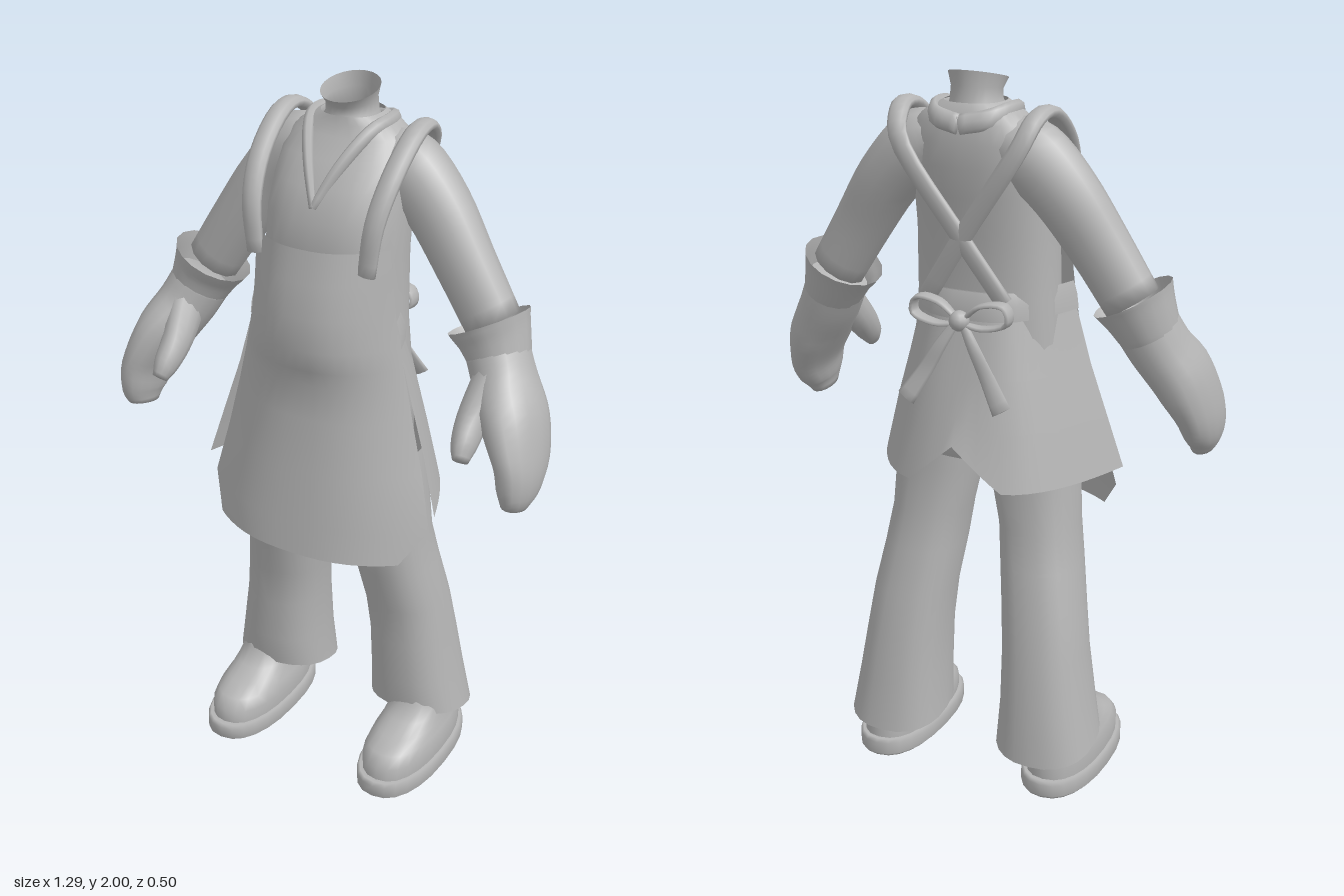
import * as THREE from 'three';

const V = (x, y, z) => new THREE.Vector3(x, y, z);
const cloth = new THREE.MeshStandardMaterial({ color: 0xb4b4b4, side: THREE.DoubleSide });
cloth.name = 'plain grey';

// Skin between cross-sections; each section is a list of points.
function loft(name, rings, closed = true) {
  const n = rings[0].length, pos = [], idx = [];
  rings.forEach(r => r.forEach(p => pos.push(p.x, p.y, p.z)));
  for (let i = 0; i < rings.length - 1; i++) {
    for (let j = 0; j < (closed ? n : n - 1); j++) {
      const k = (j + 1) % n, a = i * n + j, b = a + n, c = i * n + k, d = c + n;
      idx.push(a, b, c, c, b, d);
    }
  }
  const g = new THREE.BufferGeometry();
  g.setAttribute('position', new THREE.Float32BufferAttribute(pos, 3));
  g.setIndex(idx);
  g.computeVertexNormals();
  const mesh = new THREE.Mesh(g, cloth);
  mesh.name = name;
  return mesh;
}

const collapse = r => {
  const c = r.reduce((s, p) => s.add(p), V(0, 0, 0)).divideScalar(r.length);
  return r.map(() => c.clone());
};

// Level section: rows are [y, centre x, half width, back z, front z, front lift].
function stack(name, rows, { n = 24, e = 0.85, capTop = false, capBottom = false } = {}) {
  const pw = v => Math.sign(v) * Math.abs(v) ** e;
  const rings = rows.map(([y, cx, hx, zb, zf, lift = 0]) => Array.from({ length: n }, (_, i) => {
    const a = i / n * Math.PI * 2, s = pw(Math.sin(a));
    return V(cx + hx * pw(Math.cos(a)), y + lift * s, (zb + zf) / 2 + s * (zf - zb) / 2);
  }));
  if (capBottom) rings.unshift(collapse(rings[0]));
  if (capTop) rings.push(collapse(rings[rings.length - 1]));
  return loft(name, rings);
}

// Oval tube along a smooth path: rows are [x, y, z, thickness radius, width radius along ref].
function sweep(name, rows, { ref = V(0, 0, 1), n = 12, steps = 4, cap = true } = {}) {
  const path = new THREE.CatmullRomCurve3(rows.map(r => V(r[0], r[1], r[2])), false, 'catmullrom');
  const size = new THREE.CatmullRomCurve3(rows.map(r => V(r[3], r[4], 0)), false, 'catmullrom');
  const total = (rows.length - 1) * steps, rings = [];
  for (let i = 0; i <= total; i++) {
    const c = path.getPoint(i / total), t = path.getTangent(i / total), s = size.getPoint(i / total);
    const A = ref.clone().addScaledVector(t, -ref.dot(t)).normalize(), B = t.clone().cross(A);
    rings.push(Array.from({ length: n }, (_, j) => {
      const a = j / n * Math.PI * 2;
      return c.clone().addScaledVector(B, s.x * Math.cos(a)).addScaledVector(A, s.y * Math.sin(a));
    }));
  }
  if (cap) {
    rings.unshift(collapse(rings[0]));
    rings.push(collapse(rings[rings.length - 1]));
  }
  return loft(name, rings);
}

// Curved open cloth: rows are [y, half width, edge z, middle z, rise at middle].
function panel(name, rows, p, n = 20) {
  const front = rows[0][3] > rows[0][2] ? 1 : -1;
  return loft(name, rows.map(([y, w, ze, zm, rise = 0]) => Array.from({ length: n + 1 }, (_, i) => {
    const u = -Math.sin((i / n - 0.5) * Math.PI) * front;
    return V(u * w, y + rise * Math.max(0, 1 - Math.abs(u) * 2.6), ze + (zm - ze) * (1 - Math.abs(u) ** p));
  })), false);
}

function buildSide() {
  const side = new THREE.Group();

  // Sleeve and mitten
  side.add(sweep('sleeve', [
    [0.09, 1.82, -0.09, 0.07, 0.08], [0.16, 1.79, -0.09, 0.095, 0.09], [0.25, 1.7, -0.085, 0.09, 0.085],
    [0.34, 1.57, -0.07, 0.083, 0.075], [0.43, 1.43, -0.06, 0.078, 0.07]]));
  side.add(sweep('gloveCuff', [
    [0.425, 1.44, -0.045, 0.112, 0.115], [0.445, 1.4, -0.04, 0.097, 0.1], [0.47, 1.345, -0.03, 0.082, 0.088]],
    { cap: false, n: 16 }));
  side.add(sweep('mitten', [
    [0.455, 1.375, -0.035, 0.085, 0.088], [0.495, 1.3, -0.01, 0.082, 0.098], [0.545, 1.22, 0.03, 0.077, 0.12],
    [0.583, 1.13, 0.065, 0.06, 0.115], [0.592, 1.06, 0.09, 0.05, 0.09], [0.588, 1.01, 0.1, 0.032, 0.055]],
    { n: 16 }));
  side.add(sweep('thumb', [
    [0.475, 1.33, 0.01, 0.05, 0.06], [0.46, 1.24, 0.09, 0.042, 0.05], [0.462, 1.18, 0.15, 0.034, 0.04],
    [0.467, 1.145, 0.18, 0.02, 0.025]]));

  // Trouser leg, open at the hem
  side.add(stack('trouserLeg', [
    [0.14, 0.233, 0.143, -0.25, 0.035, 0.035], [0.26, 0.225, 0.128, -0.232, 0.045, 0.01],
    [0.4, 0.213, 0.118, -0.21, 0.045], [0.52, 0.2, 0.115, -0.188, 0.055], [0.65, 0.18, 0.112, -0.16, 0.085],
    [0.76, 0.165, 0.11, -0.138, 0.1], [0.9, 0.145, 0.122, -0.13, 0.11], [1.02, 0.13, 0.12, -0.13, 0.11]]));

  // Shoe with thick sole
  const shoe = new THREE.Group();
  shoe.name = 'shoe';
  shoe.add(stack('sole', [
    [0, 0, 0.105, -0.225, 0.235], [0.008, 0, 0.113, -0.23, 0.247], [0.042, 0, 0.113, -0.23, 0.247],
    [0.052, 0, 0.106, -0.222, 0.238]], { capTop: true, capBottom: true }));
  shoe.add(stack('shoeUpper', [
    [0.05, 0, 0.1, -0.212, 0.225], [0.09, 0, 0.102, -0.21, 0.222], [0.12, 0, 0.093, -0.205, 0.195],
    [0.14, 0, 0.086, -0.2, 0.14], [0.165, 0, 0.082, -0.195, 0.085], [0.2, 0, 0.078, -0.19, 0.035],
    [0.27, 0, 0.074, -0.185, 0.02]], { capTop: true }));
  shoe.position.x = 0.262;
  side.add(shoe);

  // Strap over the shoulder, crossing to the far side behind
  side.add(sweep('apronStrap', [
    [0.165, 1.57, 0.135, 0.015, 0.025], [0.18, 1.7, 0.125, 0.016, 0.028], [0.193, 1.81, 0.06, 0.018, 0.03],
    [0.197, 1.893, -0.05, 0.018, 0.03], [0.19, 1.89, -0.14, 0.016, 0.028], [0.155, 1.8, -0.195, 0.013, 0.026],
    [0.01, 1.59, -0.178, 0.012, 0.026], [-0.11, 1.41, -0.15, 0.012, 0.026]], { ref: V(1, 0, 0), n: 10 }));

  // Collar half
  side.add(sweep('collar', [
    [0, 1.715, 0.12, 0.01, 0.012], [0.045, 1.81, 0.065, 0.014, 0.02], [0.088, 1.885, -0.01, 0.016, 0.022],
    [0.105, 1.9, -0.09, 0.016, 0.024], [0.075, 1.885, -0.165, 0.016, 0.026], [0, 1.87, -0.185, 0.016, 0.026]],
    { ref: V(0, 1, 0.3), n: 8 }));

  // Bow loop and ribbon tail
  side.add(sweep('bowLoop', [
    [0.01, 1.365, -0.185, 0.007, 0.012], [0.06, 1.405, -0.185, 0.007, 0.022], [0.125, 1.41, -0.18, 0.007, 0.026],
    [0.135, 1.365, -0.18, 0.007, 0.026], [0.07, 1.345, -0.185, 0.007, 0.022], [0.01, 1.35, -0.185, 0.007, 0.012]],
    { n: 8 }));
  side.add(sweep('bowTail', [
    [0.01, 1.355, -0.19, 0.008, 0.012], [0.05, 1.29, -0.205, 0.008, 0.018], [0.09, 1.22, -0.212, 0.008, 0.022],
    [0.14, 1.14, -0.23, 0.008, 0.028]], { ref: V(1, 0, 0), n: 8 }));
  return side;
}

export function createModel() {
  const model = new THREE.Group();
  model.name = 'apronOutfit';

  // Shirt body and open neck
  model.add(stack('shirtBody', [
    [0.95, 0, 0.22, -0.14, 0.11], [1.15, 0, 0.22, -0.14, 0.12], [1.4, 0, 0.198, -0.135, 0.13],
    [1.58, 0, 0.192, -0.155, 0.145], [1.68, 0, 0.19, -0.175, 0.135], [1.76, 0, 0.185, -0.188, 0.1],
    [1.82, 0, 0.18, -0.19, 0.055], [1.87, 0, 0.16, -0.185, 0.015], [1.9, 0, 0.12, -0.175, 0],
    [1.92, 0, 0.08, -0.16, -0.005]], { capBottom: true, n: 28 }));
  model.add(stack('neck', [
    [1.87, 0, 0.09, -0.165, 0.01], [1.92, 0, 0.068, -0.152, -0.008], [1.95, 0, 0.066, -0.148, -0.005, -0.01],
    [1.98, 0, 0.077, -0.15, 0.012, -0.02]], { e: 1 }));

  // Apron with rounded belly, and the skirt behind
  model.add(panel('apron', [
    [0.76, 0.285, 0.16, 0.25], [0.85, 0.343, 0.095, 0.238], [1.0, 0.308, 0.075, 0.215], [1.15, 0.272, 0.068, 0.193],
    [1.25, 0.25, 0.065, 0.188], [1.3, 0.24, 0.065, 0.207], [1.36, 0.229, 0.065, 0.217], [1.45, 0.215, 0.068, 0.217],
    [1.54, 0.207, 0.07, 0.2], [1.625, 0.198, 0.07, 0.182]], 2.5));
  model.add(panel('backSkirt', [
    [0.905, 0.36, 0.1, -0.243, 0.12], [1.06, 0.315, 0.08, -0.212, 0.04], [1.2, 0.27, 0.07, -0.188],
    [1.36, 0.226, 0.065, -0.155], [1.43, 0.215, 0.065, -0.145]], 3.2, 32));
  model.add(panel('waistTie', [
    [1.355, 0.232, 0.066, -0.164], [1.395, 0.227, 0.066, -0.165], [1.43, 0.217, 0.066, -0.152]], 3.2));

  // Bow knot
  const knot = new THREE.Mesh(new THREE.SphereGeometry(0.028, 12, 8), cloth);
  knot.name = 'bowKnot';
  knot.position.set(0, 1.36, -0.19);
  model.add(knot);

  // Mirrored parts
  const left = buildSide(), right = buildSide();
  left.name = 'leftSide';
  right.name = 'rightSide';
  right.scale.x = -1;
  model.add(left, right);
  return model;
}
